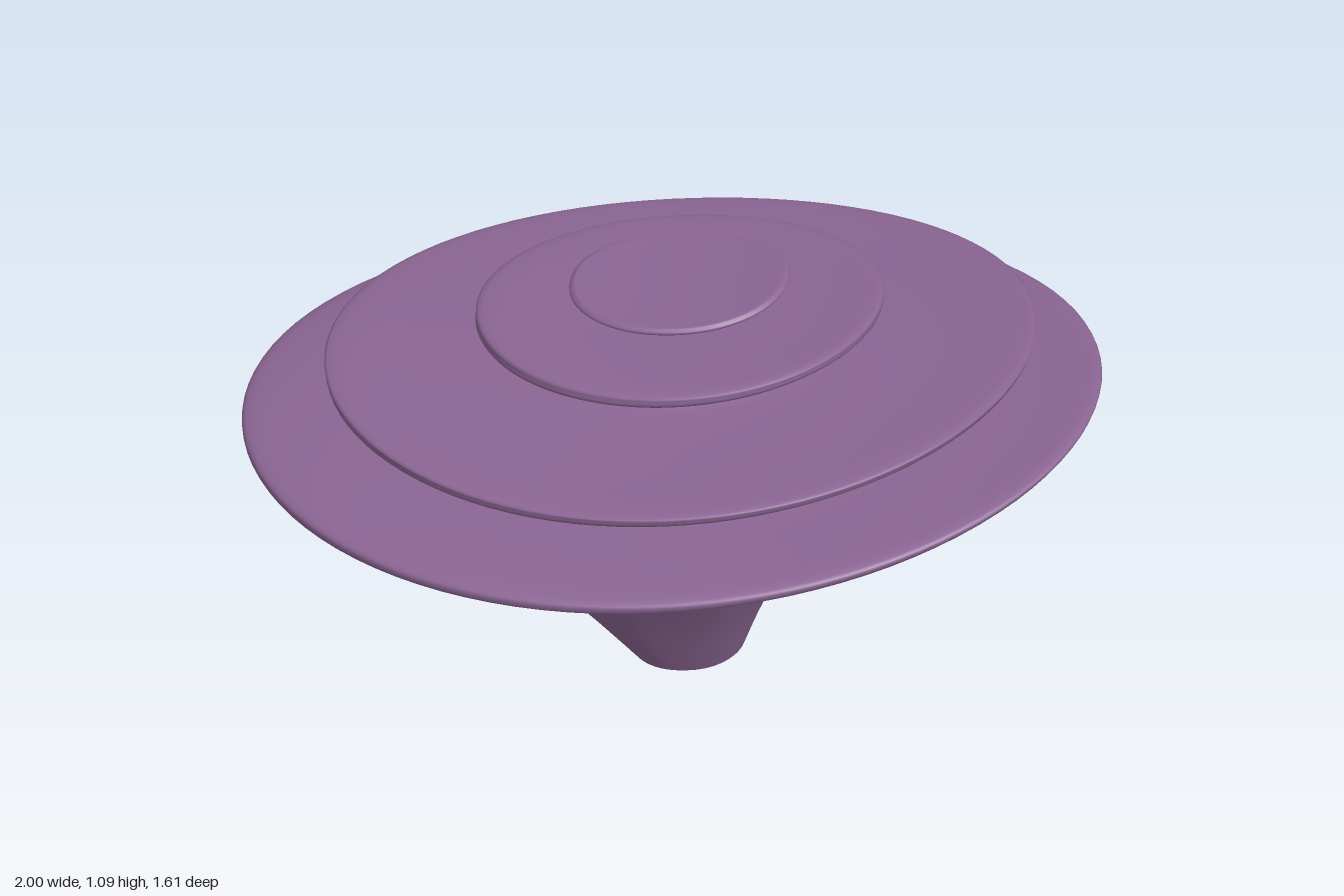
import * as THREE from 'three';

const SEG = 96;

// A section is [xLeft, xRight, zBack, zFront, yLeft, yMiddle, yRight, squareness]
// It makes an oval loop whose height bends along x; s shrinks it.
function loop([xl, xr, zb, zf, yl, ym, yr, e = 1], s = 1) {
  const pts = [];
  const shape = (v) => Math.sign(v) * Math.abs(v) ** e;
  for (let j = 0; j < SEG; j++) {
    const a = (j / SEG) * Math.PI * 2;
    const c = s * shape(Math.cos(a)), d = s * shape(Math.sin(a));
    pts.push(
      (xl + xr) / 2 + ((xr - xl) / 2) * c,
      ym + ((yr - yl) / 2) * c + ((yl + yr) / 2 - ym) * c * c,
      (zb + zf) / 2 + ((zf - zb) / 2) * d,
    );
  }
  return pts;
}

// Skin a list of loops
function skin(loops) {
  const index = [];
  for (let i = 0; i < loops.length - 1; i++) {
    for (let j = 0; j < SEG; j++) {
      const a = i * SEG + j, b = i * SEG + ((j + 1) % SEG);
      index.push(a, a + SEG, b, b, a + SEG, b + SEG);
    }
  }
  const geo = new THREE.BufferGeometry();
  geo.setAttribute('position', new THREE.Float32BufferAttribute(loops.flat(), 3));
  geo.setIndex(index);
  geo.computeVertexNormals();
  return geo;
}

// Smoothly interpolate between key sections
function refine(sections, steps = 4) {
  const full = sections.map((s) => (s.length === 8 ? s : [...s, 1]));
  const at = (i) => full[Math.min(Math.max(i, 0), full.length - 1)];
  const out = [];
  for (let i = 0; i < full.length - 1; i++) {
    for (let k = 0; k < steps; k++) {
      const t = k / steps;
      out.push(at(i).map((p1, n) => {
        const p0 = at(i - 1)[n], p2 = at(i + 1)[n], p3 = at(i + 2)[n];
        return p1 + 0.5 * t * (p2 - p0 + t * (2 * p0 - 5 * p1 + 4 * p2 - p3 + t * (3 * (p1 - p2) + p3 - p0)));
      }));
    }
  }
  out.push(at(full.length - 1));
  return out;
}

// Each part starts on the last section of the part below
const stalk = [
  [-0.11, 0.153, -0.258, -0.068, 0.025, 0.005, 0.055, 0.6],
  [-0.2, 0.202, -0.32, 0.01, 0.135, 0.16, 0.19, 0.68],
  [-0.315, 0.26, -0.385, 0.095, 0.265, 0.3, 0.31, 0.78],
  [-0.44, 0.34, -0.455, 0.175, 0.405, 0.43, 0.43, 0.87],
  [-0.55, 0.43, -0.525, 0.255, 0.48, 0.52, 0.535, 0.94],
  [-0.68, 0.57, -0.605, 0.36, 0.553, 0.6, 0.65],
  [-0.845, 0.79, -0.71, 0.56, 0.635, 0.68, 0.785],
  [-0.972, 0.953, -0.787, 0.768, 0.692, 0.74, 0.88],
  [-1, 1, -0.805, 0.805, 0.723, 0.767, 0.916],
  [-0.975, 0.978, -0.787, 0.783, 0.745, 0.787, 0.928],
  [-0.85, 0.85, -0.7, 0.67, 0.765, 0.8, 0.905],
  [-0.65, 0.65, -0.585, 0.5, 0.785, 0.81, 0.885],
  [-0.61, 0.61, -0.56, 0.46, 0.797, 0.823, 0.895],
];

const lowerDisc = [
  stalk.at(-1),
  [-0.65, 0.65, -0.58, 0.49, 0.815, 0.84, 0.915],
  [-0.79, 0.81, -0.69, 0.6, 0.833, 0.868, 0.992],
  [-0.812, 0.84, -0.71, 0.622, 0.858, 0.89, 1.018],
  [-0.79, 0.82, -0.69, 0.602, 0.877, 0.905, 1.031],
  [-0.6, 0.63, -0.56, 0.44, 0.887, 0.91, 0.995],
  [-0.36, 0.38, -0.4, 0.22, 0.9, 0.92, 0.965],
  [-0.31, 0.34, -0.365, 0.185, 0.915, 0.935, 0.973],
];

const middleDisc = [
  lowerDisc.at(-1),
  [-0.35, 0.37, -0.39, 0.21, 0.932, 0.955, 0.99],
  [-0.455, 0.465, -0.465, 0.28, 0.952, 0.982, 1.043],
  [-0.468, 0.48, -0.477, 0.29, 0.973, 1.002, 1.064],
  [-0.45, 0.465, -0.46, 0.275, 0.993, 1.016, 1.077],
  [-0.32, 0.34, -0.375, 0.17, 1, 1.019, 1.055],
  [-0.17, 0.19, -0.29, 0.03, 1.005, 1.02, 1.04],
  [-0.15, 0.17, -0.27, 0.01, 1.011, 1.025, 1.044],
];

const topDisc = [
  middleDisc.at(-1),
  [-0.18, 0.19, -0.29, 0.025, 1.018, 1.031, 1.052],
  [-0.247, 0.245, -0.335, 0.06, 1.025, 1.036, 1.073, 0.94],
  [-0.256, 0.255, -0.342, 0.068, 1.034, 1.045, 1.083, 0.94],
  [-0.245, 0.243, -0.333, 0.06, 1.043, 1.054, 1.09, 0.94],
];

export function createModel() {
  const group = new THREE.Group();
  const plum = new THREE.MeshStandardMaterial({ color: 0x8c6694 });
  plum.name = 'plum';
  const add = (name, loops) => {
    const mesh = new THREE.Mesh(skin(loops), plum);
    mesh.name = name;
    group.add(mesh);
  };
  const wall = (sections) => refine(sections).map((s) => loop(s));

  // Curved foot closing the stalk
  add('foot', [0, 0.25, 0.5, 0.75, 1].map((s) => loop(stalk[0], s)));

  // Flared stalk with the widest disc, then the smaller discs with their necks
  add('stalkAndBaseDisc', wall(stalk));
  add('lowerDisc', wall(lowerDisc));
  add('middleDisc', wall(middleDisc));

  // Top disc closes to its centre
  const cap = [0.95, 0.85, 0.65, 0.45, 0.25, 0].map((s) => loop(topDisc.at(-1), s));
  add('topDisc', [...wall(topDisc), ...cap]);

  return group;
}
